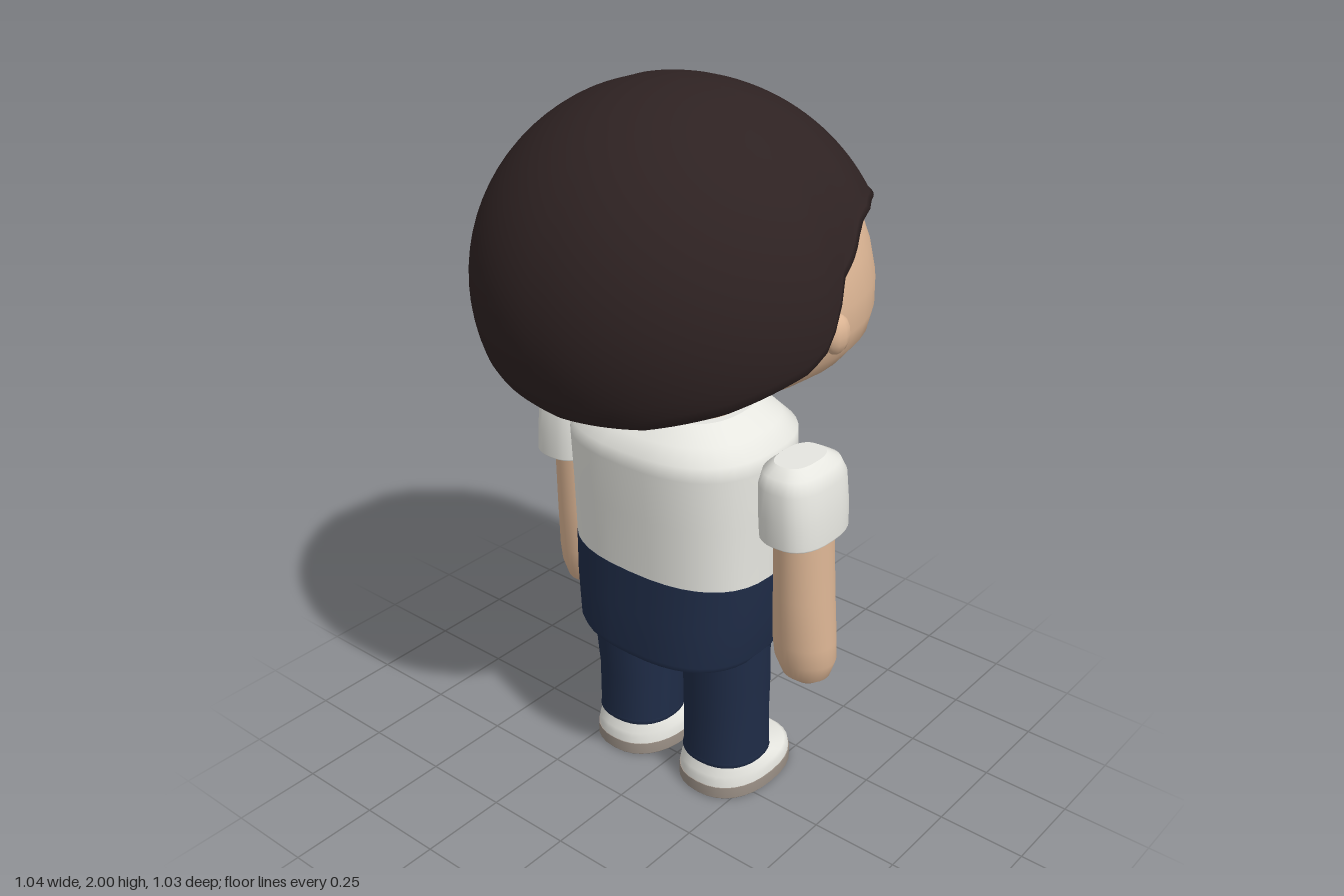
import * as THREE from 'three';

const mat = (name, color, side = THREE.FrontSide) => {
  const m = new THREE.MeshStandardMaterial({ color, side });
  m.name = name;
  return m;
};

// Closed surface from rings [y, centreX, halfX, centreZ, halfZ], bottom to top
function loft(rings, power = 2, n = 32) {
  const pos = [], idx = [];
  const e = 2 / power;
  const p = (v) => Math.sign(v) * Math.pow(Math.abs(v), e);
  const addRing = ([y, cx, hx, cz, hz]) => {
    for (let j = 0; j < n; j++) {
      const a = (j / n) * Math.PI * 2;
      pos.push(cx + hx * p(Math.cos(a)), y, cz + hz * p(Math.sin(a)));
    }
  };
  rings.forEach(addRing);
  for (let i = 0; i < rings.length - 1; i++) {
    for (let j = 0; j < n; j++) {
      const a = i * n + j, b = i * n + ((j + 1) % n);
      idx.push(a, a + n, b, b, a + n, b + n);
    }
  }
  // flat caps with their own vertices
  [rings[0], rings[rings.length - 1]].forEach((r, k) => {
    const s = pos.length / 3;
    addRing(r);
    pos.push(r[1], r[0], r[3]);
    for (let j = 0; j < n; j++) {
      const a = s + j, b = s + ((j + 1) % n);
      if (k === 0) idx.push(s + n, a, b); else idx.push(s + n, b, a);
    }
  });
  return geometry(pos, idx);
}

function geometry(pos, idx) {
  const g = new THREE.BufferGeometry();
  g.setAttribute('position', new THREE.Float32BufferAttribute(pos, 3));
  g.setIndex(idx);
  g.computeVertexNormals();
  return g;
}

// Piecewise linear lookup in [key, value] pairs
function lookup(table, k) {
  for (let i = 1; i < table.length; i++) {
    const [a, u] = table[i - 1], [b, v] = table[i];
    if (k <= b) return u + (v - u) * Math.max(0, (k - a) / (b - a));
  }
  return table[table.length - 1][1];
}

// Head outline: [height, radius]
const HEAD = [[1.28, 0.27], [1.31, 0.375], [1.35, 0.43], [1.4, 0.47], [1.45, 0.481], [1.52, 0.48],
  [1.6, 0.463], [1.7, 0.427], [1.8, 0.35], [1.88, 0.24], [1.93, 0.1]];
const faceZ = (x, y) => -0.02 - Math.sqrt(lookup(HEAD, y) ** 2 - x * x);

// Hair tables by angle from the face (0) to the back (180)
const HAIR_EDGE = [[0, 1.69], [35, 1.698], [64, 1.722], [74, 1.705], [82, 1.645], [90, 1.605], [94, 1.53],
  [98, 1.455], [105, 1.405], [126, 1.34], [150, 1.29], [180, 1.27]];
const HAIR_RADIUS = [[0, 0.495], [25, 0.508], [56, 0.53], [70, 0.532], [79, 0.512], [90, 0.514],
  [100, 0.528], [120, 0.522], [180, 0.513]];

function hairGeometry() {
  const n = 120, rows = 28, pos = [], idx = [];
  for (let i = 0; i <= rows; i++) {
    for (let j = 0; j < n; j++) {
      const deg = (j / n) * 360, phi = (deg * Math.PI) / 180;
      const side = deg > 180 ? 360 - deg : deg;
      const edge = lookup(HAIR_EDGE, side), R = lookup(HAIR_RADIUS, side);
      const low = Math.asin((edge - 1.5) / 0.5);
      const t = Math.max(0, i - 2) / (rows - 2);
      const a = low + (Math.PI / 2 - low) * t;
      let r = R * Math.cos(a), y = 1.5 + 0.5 * Math.sin(a);
      if (i === 0) { r *= 0.88; y += 0.03; } // inner lip
      if (i === 1) { r *= 0.965; y -= 0.004; }
      if (i === 2) y += 0.01;
      pos.push(r * Math.sin(phi), y, -r * Math.cos(phi));
    }
  }
  for (let i = 0; i < rows; i++) {
    for (let j = 0; j < n; j++) {
      const a = i * n + j, b = i * n + ((j + 1) % n);
      idx.push(a, a + n, b, b, a + n, b + n);
    }
  }
  return geometry(pos, idx);
}

export function createModel() {
  const group = new THREE.Group();
  const skin = mat('skin', 0xdcb594);
  const hair = mat('hair', 0x2e2222, THREE.DoubleSide);
  const white = mat('white cloth', 0xe6e6e0);
  const navy = mat('navy cloth', 0x1f2c47);
  const sole = mat('sole', 0x9c9187);
  const black = mat('black', 0x161112);
  const pink = mat('pink', 0xc8607a);

  const add = (name, geo, material) => {
    const m = new THREE.Mesh(geo, material);
    m.name = name;
    group.add(m);
    return m;
  };
  // Small ellipsoid resting on the face
  const bead = (name, material, x, y, size, lift = 0) => {
    const m = add(name, new THREE.SphereGeometry(1, 14, 10), material);
    m.scale.set(...size);
    m.position.set(x, y, faceZ(x, y) - lift);
    m.rotation.y = Math.atan2(x, m.position.z + 0.02);
    return m;
  };

  // Head and neck
  add('head', loft([
    [1.12, 0, 0.165, -0.03, 0.165], [1.16, 0, 0.17, -0.03, 0.17], [1.25, 0, 0.215, -0.03, 0.2],
    ...HEAD.map(([y, r]) => [y, 0, r * 1.01, -0.02, r]),
  ], 2, 48), skin);
  add('hair', hairGeometry(), hair);

  // Face
  bead('nose', skin, 0, 1.44, [0.016, 0.016, 0.016], 0.005);
  bead('mouth', pink, 0, 1.385, [0.022, 0.011, 0.007]);

  // Shirt and hips
  add('shirt', loft([
    [0.72, 0, 0.303, -0.018, 0.218], [0.9, 0, 0.303, -0.022, 0.235], [1.05, 0, 0.305, -0.026, 0.252],
    [1.09, 0, 0.3, -0.028, 0.252], [1.125, 0, 0.255, -0.03, 0.218], [1.155, 0, 0.205, -0.03, 0.18],
    [1.163, 0, 0.19, -0.03, 0.168],
  ], 2.5, 40), white);
  add('trouserHips', loft([
    [0.462, 0, 0.275, -0.015, 0.222], [0.48, 0, 0.285, -0.015, 0.228], [0.6, 0, 0.298, -0.016, 0.224],
    [0.722, 0, 0.304, -0.018, 0.219],
  ], 2.5, 40), navy);

  for (const s of [1, -1]) {
    const side = s > 0 ? 'left' : 'right';
    const sided = (rings, power) => loft(rings.map(([y, x, ...r]) => [y, x * s, ...r]), power);

    // Eye: curved line open towards the nose, with two glints
    const pts = [];
    for (let i = 0; i <= 12; i++) {
      const a = THREE.MathUtils.degToRad(-70 + i * 15);
      const x = s * (0.148 + 0.058 * Math.cos(a)), y = 1.49 + 0.06 * Math.sin(a);
      pts.push(new THREE.Vector3(x, y, faceZ(x, y)));
    }
    add(side + 'Eye', new THREE.TubeGeometry(new THREE.CatmullRomCurve3(pts), 28, 0.006, 6), black);
    bead(side + 'EyeGlintUpper', white, s * 0.19, 1.52, [0.01, 0.011, 0.006], 0.003);
    bead(side + 'EyeGlintLower', white, s * 0.188, 1.455, [0.01, 0.01, 0.006], 0.003);
    bead(side + 'Eyebrow', black, s * 0.185, 1.632, [0.03, 0.009, 0.006], 0.002);
    bead(side + 'Cheek', pink, s * 0.352, 1.43, [0.026, 0.018, 0.009], 0.002);

    // Ear
    const ear = add(side + 'Ear', new THREE.SphereGeometry(1, 12, 8), skin);
    ear.scale.set(0.03, 0.05, 0.042);
    ear.position.set(s * 0.485, 1.47, 0);

    // Arm with rounded hand
    add(side + 'Arm', sided([
      [0.418, 0.4, 0.035, -0.07, 0.035], [0.44, 0.395, 0.068, -0.07, 0.062], [0.49, 0.392, 0.087, -0.068, 0.077],
      [0.55, 0.39, 0.088, -0.063, 0.082], [0.7, 0.388, 0.08, -0.055, 0.087], [0.92, 0.385, 0.072, -0.045, 0.09],
    ]), skin);

    // Sleeve
    add(side + 'Sleeve', sided([
      [0.887, 0.39, 0.09, -0.04, 0.125], [0.892, 0.39, 0.092, -0.04, 0.129], [0.96, 0.386, 0.092, -0.04, 0.131],
      [1.04, 0.38, 0.088, -0.04, 0.13], [1.075, 0.375, 0.077, -0.04, 0.115], [1.095, 0.37, 0.05, -0.04, 0.08],
    ], 2.6), white);

    // Trouser leg and cuff
    add(side + 'Leg', sided([
      [0.11, 0.158, 0.118, -0.03, 0.12], [0.25, 0.158, 0.117, -0.028, 0.119],
      [0.35, 0.162, 0.119, -0.022, 0.119], [0.5, 0.162, 0.121, -0.015, 0.118],
    ], 2.2), navy);
    add(side + 'Cuff', sided([
      [0.093, 0.158, 0.11, -0.03, 0.112], [0.102, 0.158, 0.12, -0.03, 0.122], [0.114, 0.158, 0.118, -0.03, 0.12],
    ], 2.2), navy);

    // Shoe
    add(side + 'Sole', sided([
      [0, 0.157, 0.133, -0.073, 0.173], [0.005, 0.157, 0.137, -0.073, 0.177], [0.038, 0.157, 0.136, -0.073, 0.176],
    ], 2.3), sole);
    add(side + 'Shoe', sided([
      [0.036, 0.157, 0.134, -0.073, 0.174], [0.058, 0.157, 0.132, -0.072, 0.172], [0.07, 0.157, 0.127, -0.066, 0.162],
      [0.086, 0.157, 0.12, -0.042, 0.132], [0.1, 0.157, 0.112, -0.03, 0.115],
    ], 2.3), white);
  }
  return group;
}
